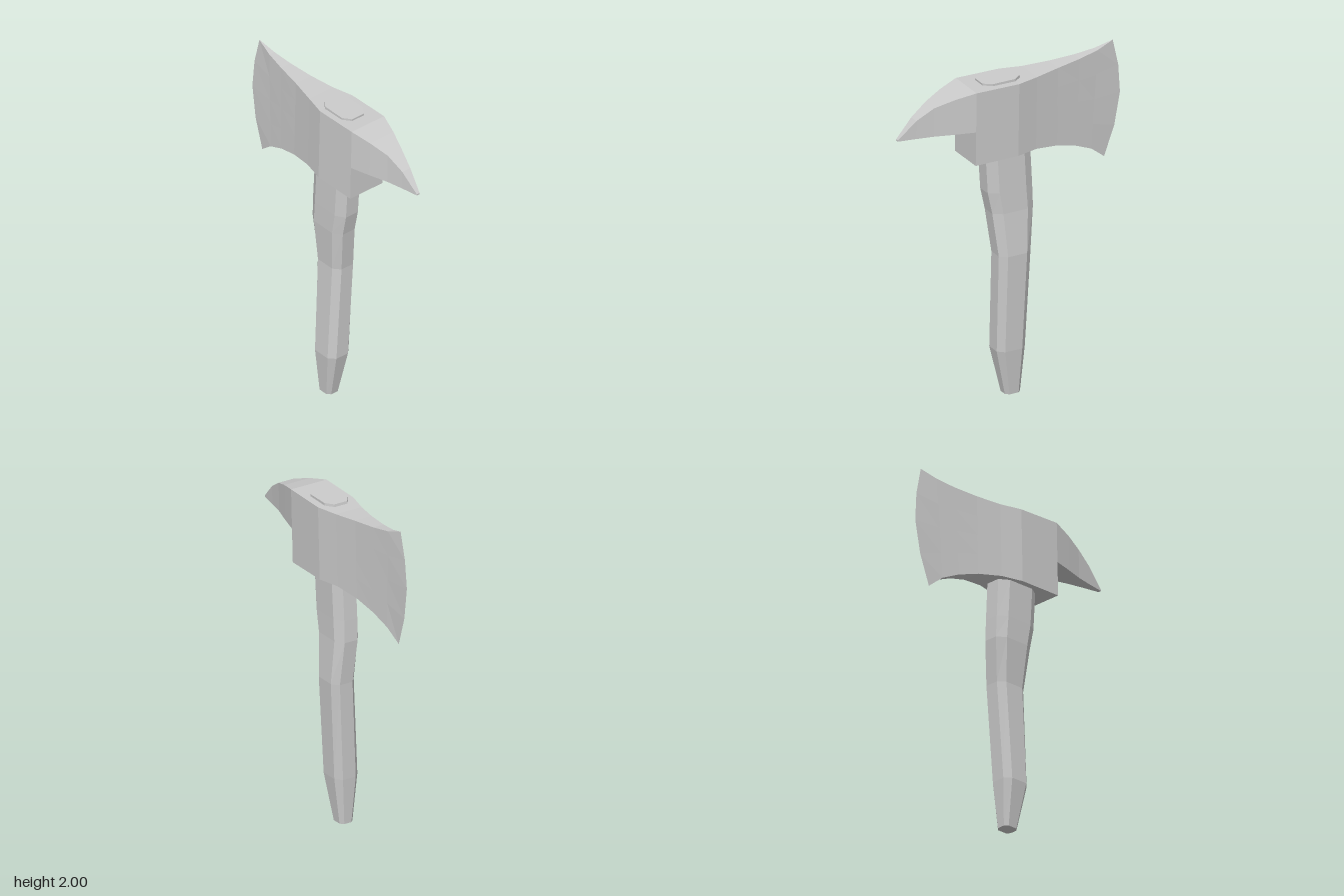
import * as THREE from 'three';

const material = new THREE.MeshStandardMaterial({ color: 0xcccccc, flatShading: true });

// Skin a list of equal-length rings (counter-clockwise seen from the end) and cap the ends.
function loft(name, rings, capStart = true, capEnd = true) {
  const n = rings[0].length;
  const index = [];
  for (let i = 0; i < rings.length - 1; i++) {
    for (let j = 0; j < n; j++) {
      const a = i * n + j, b = i * n + (j + 1) % n;
      index.push(a, b, b + n, a, b + n, a + n);
    }
  }
  const last = (rings.length - 1) * n;
  for (let j = 1; j < n - 1; j++) {
    if (capStart) index.push(0, j + 1, j);
    if (capEnd) index.push(last, last + j, last + j + 1);
  }
  const indexed = new THREE.BufferGeometry();
  indexed.setAttribute('position', new THREE.Float32BufferAttribute(rings.flat(2), 3));
  indexed.setIndex(index);
  const geometry = indexed.toNonIndexed();
  geometry.computeVertexNormals();
  const mesh = new THREE.Mesh(geometry, material);
  mesh.name = name;
  return mesh;
}

// The head leans very slightly sideways.
const lean = (x, y, z) => [x + 0.025 * (y - 1.7), y, z];

// Head section: right column top to bottom, then left column bottom to top.
function headRing(halfWidth, column) {
  const right = column.map(([z, y]) => lean(halfWidth, y, z));
  const left = column.map(([z, y]) => lean(-halfWidth, y, z)).reverse();
  return [...right, ...left];
}

const ROWS = 4;
const straight = (topZ, topY, bottomZ, bottomY) =>
  Array.from({ length: ROWS + 1 }, (_, i) => [
    THREE.MathUtils.lerp(topZ, bottomZ, i / ROWS),
    THREE.MathUtils.lerp(topY, bottomY, i / ROWS),
  ]);

function createBlade() {
  // half width, top z, top y, bottom z, bottom y
  const sections = [
    [0.117, 0.27, 1.93, 0.27, 1.485],
    [0.117, 0.0, 1.925, 0.0, 1.485],
    [0.085, -0.13, 1.925, -0.13, 1.485],
    [0.055, -0.28, 1.935, -0.28, 1.46],
    [0.034, -0.43, 1.948, -0.41, 1.42],
    [0.018, -0.55, 1.967, -0.52, 1.37],
  ];
  const rings = sections.map(([w, ...ends]) => headRing(w, straight(...ends)));
  // Curved cutting edge
  const edge = [[-0.655, 2.0], [-0.692, 1.84], [-0.705, 1.67], [-0.672, 1.475], [-0.61, 1.297]];
  rings.push(headRing(0.001, edge));
  return loft('axeBlade', rings, true, false);
}

function createSpike() {
  // z, top y, half width, from tip to base
  const sections = [
    [0.705, 1.697, 0.01],
    [0.6, 1.8, 0.029],
    [0.5, 1.864, 0.05],
    [0.39, 1.902, 0.084],
    [0.27, 1.93, 0.117],
  ];
  return loft('rearSpike', sections.map(([z, top, w]) => headRing(w, [[z, top], [z, 1.69]])));
}

function createHandle() {
  // y, x min, x max, z min, z max
  const sections = [
    [0.0, -0.068, 0.017, -0.074, 0.022],
    [0.28, -0.099, 0.053, -0.093, 0.085],
    [0.87, -0.066, 0.085, -0.111, 0.09],
    [1.13, -0.085, 0.07, -0.135, 0.122],
    [1.26, -0.086, 0.07, -0.13, 0.15],
    [1.49, -0.085, 0.072, -0.117, 0.165],
    [1.94, -0.075, 0.08, -0.045, 0.19],
  ];
  // Chamfered rectangle, unit size
  const corners = [
    [-0.55, 1], [0.55, 1], [1, 0.6], [1, -0.6],
    [0.55, -1], [-0.55, -1], [-1, -0.6], [-1, 0.6],
  ];
  return loft('handle', sections.map(([y, x0, x1, z0, z1]) =>
    corners.map(([u, v]) => [
      (x0 + x1) / 2 + u * (x1 - x0) / 2,
      y,
      (z0 + z1) / 2 + v * (z1 - z0) / 2,
    ])));
}

export function createModel() {
  const model = new THREE.Group();
  model.name = 'axe';
  const head = new THREE.Group();
  head.name = 'axeHead';
  head.add(createBlade(), createSpike());
  model.add(head, createHandle());
  return model;
}
